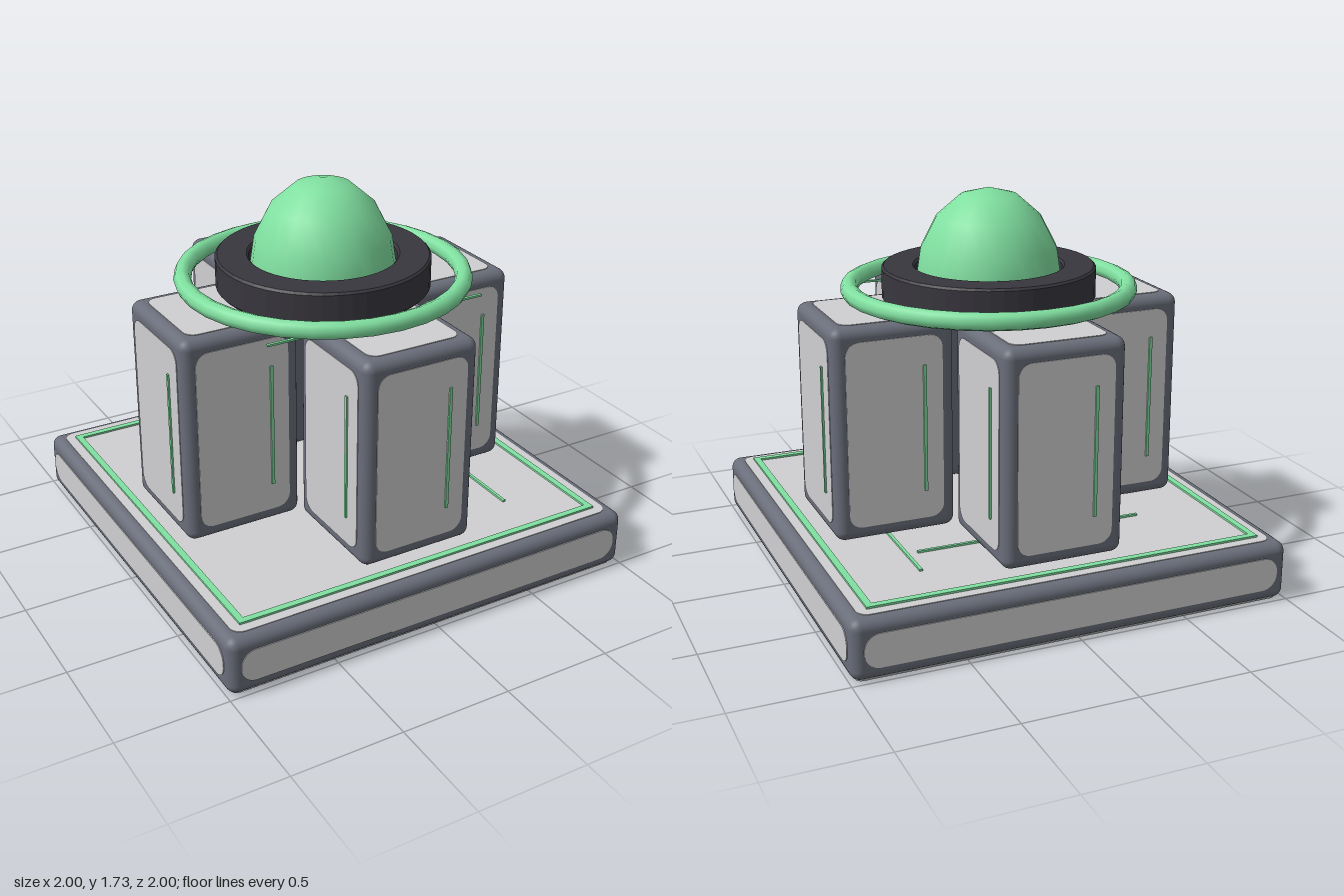
import * as THREE from 'three';
import { RoundedBoxGeometry } from 'three/addons/geometries/RoundedBoxGeometry.js';

const material = (name, color) => {
  const m = new THREE.MeshStandardMaterial({ color });
  m.name = name;
  return m;
};

// Rounded rectangle outline, centred on the origin
function roundedRect(w, h, r, Type = THREE.Shape) {
  const s = new Type(), x = w / 2, y = h / 2;
  s.absarc(x - r, y - r, r, 0, Math.PI / 2);
  s.absarc(-x + r, y - r, r, Math.PI / 2, Math.PI);
  s.absarc(-x + r, -y + r, r, Math.PI, Math.PI * 1.5);
  s.absarc(x - r, -y + r, r, Math.PI * 1.5, Math.PI * 2);
  s.closePath();
  return s;
}

export function createModel() {
  const slate = material('slate frame', 0x6a6e7a);
  const pale = material('pale panel', 0xd0d0d2);
  const green = material('mint green', 0x80e0a0);
  const dark = material('dark collar', 0x39373e);

  const model = new THREE.Group();
  model.name = 'domedStation';

  const add = (parent, name, geometry, mat, x = 0, y = 0, z = 0) => {
    const mesh = new THREE.Mesh(geometry, mat);
    mesh.name = name;
    mesh.position.set(x, y, z);
    parent.add(mesh);
    return mesh;
  };
  const plate = (w, h, r) =>
    new THREE.ExtrudeGeometry(roundedRect(w, h, r), { depth: 0.006, bevelEnabled: false, curveSegments: 6 });

  // Base slab with inset panels on every face
  const base = new THREE.Group();
  base.name = 'base';
  model.add(base);
  add(base, 'baseFrame', new RoundedBoxGeometry(1.992, 0.264, 1.992, 4, 0.045), slate, 0, 0.136, 0);
  add(base, 'baseTopPanel', plate(1.89, 1.89, 0.05), pale, 0, 0.265, 0).rotation.x = -Math.PI / 2;
  add(base, 'baseUnderside', plate(1.94, 1.94, 0.03), pale, 0, 0.006, 0).rotation.x = Math.PI / 2;
  for (let i = 0; i < 4; i++) {
    const side = new THREE.Group();
    side.name = 'baseSide';
    side.rotation.y = i * Math.PI / 2;
    base.add(side);
    add(side, 'baseSidePanel', plate(1.89, 0.15, 0.07), pale, 0, 0.135, 0.994);
    add(side, 'borderStrip', new THREE.BoxGeometry(1.77, 0.009, 0.03), green, 0.015, 0.2755, 0.885);
  }

  // Four upright blocks in a cross, each with panels and a light strip per open side
  const size = 0.55, bottom = 0.277, top = 1.235, mid = (bottom + top) / 2;
  for (let i = 0; i < 4; i++) {
    const arm = new THREE.Group();
    arm.name = 'towerBlock';
    arm.rotation.y = i * Math.PI / 2;
    model.add(arm);
    const block = new THREE.Group();
    block.name = 'block';
    block.position.z = 0.548;
    arm.add(block);
    add(block, 'blockFrame', new RoundedBoxGeometry(size, top - bottom, size, 4, 0.045), slate, 0, mid, 0);
    add(block, 'blockTopPanel', plate(0.44, 0.44, 0.05), pale, 0, top - 0.003, 0).rotation.x = -Math.PI / 2;
    for (const turn of [-1, 0, 1]) {
      const face = new THREE.Group();
      face.name = 'blockFace';
      face.rotation.y = turn * Math.PI / 2;
      block.add(face);
      add(face, 'blockSidePanel', plate(0.435, 0.835, 0.06), pale, 0, mid, size / 2 - 0.003);
      add(face, 'lightStrip', new THREE.BoxGeometry(0.014, 0.575, 0.009), green, 0.134, mid, size / 2 + 0.006);
    }
  }

  // Loose light lines on the base and across the block tops
  add(model, 'baseLineRight', new THREE.BoxGeometry(0.014, 0.009, 1.31), green, 0.58, 0.2755, 0);
  add(model, 'baseLineBack', new THREE.BoxGeometry(1.06, 0.009, 0.014), green, 0, 0.2755, -0.475);
  add(model, 'topLineFront', new THREE.BoxGeometry(1.06, 0.009, 0.014), green, 0, 1.2415, 0.466);

  // Floating ring
  add(model, 'ring', new THREE.TorusGeometry(0.626, 0.04, 8, 32), green, 0, 1.29, 0).rotation.x = Math.PI / 2;

  // Dark collar: an annulus with slightly bevelled rims
  const annulus = new THREE.Shape().absarc(0, 0, 0.47, 0, Math.PI * 2);
  annulus.holes.push(new THREE.Path().absarc(0, 0, 0.34, 0, Math.PI * 2, true));
  const collar = new THREE.ExtrudeGeometry(annulus, {
    depth: 0.13, bevelEnabled: true, bevelThickness: 0.01, bevelSize: 0.01, bevelSegments: 1, curveSegments: 24,
  });
  add(model, 'collar', collar, dark, 0, 1.25, 0).rotation.x = -Math.PI / 2;

  // Dome rising through the collar
  const dome = new THREE.SphereGeometry(0.33, 24, 4, 0, Math.PI * 2, 0, Math.PI / 2);
  dome.scale(1, 1.305, 1);
  add(model, 'dome', dome, green, 0, 1.304, 0);

  return model;
}
